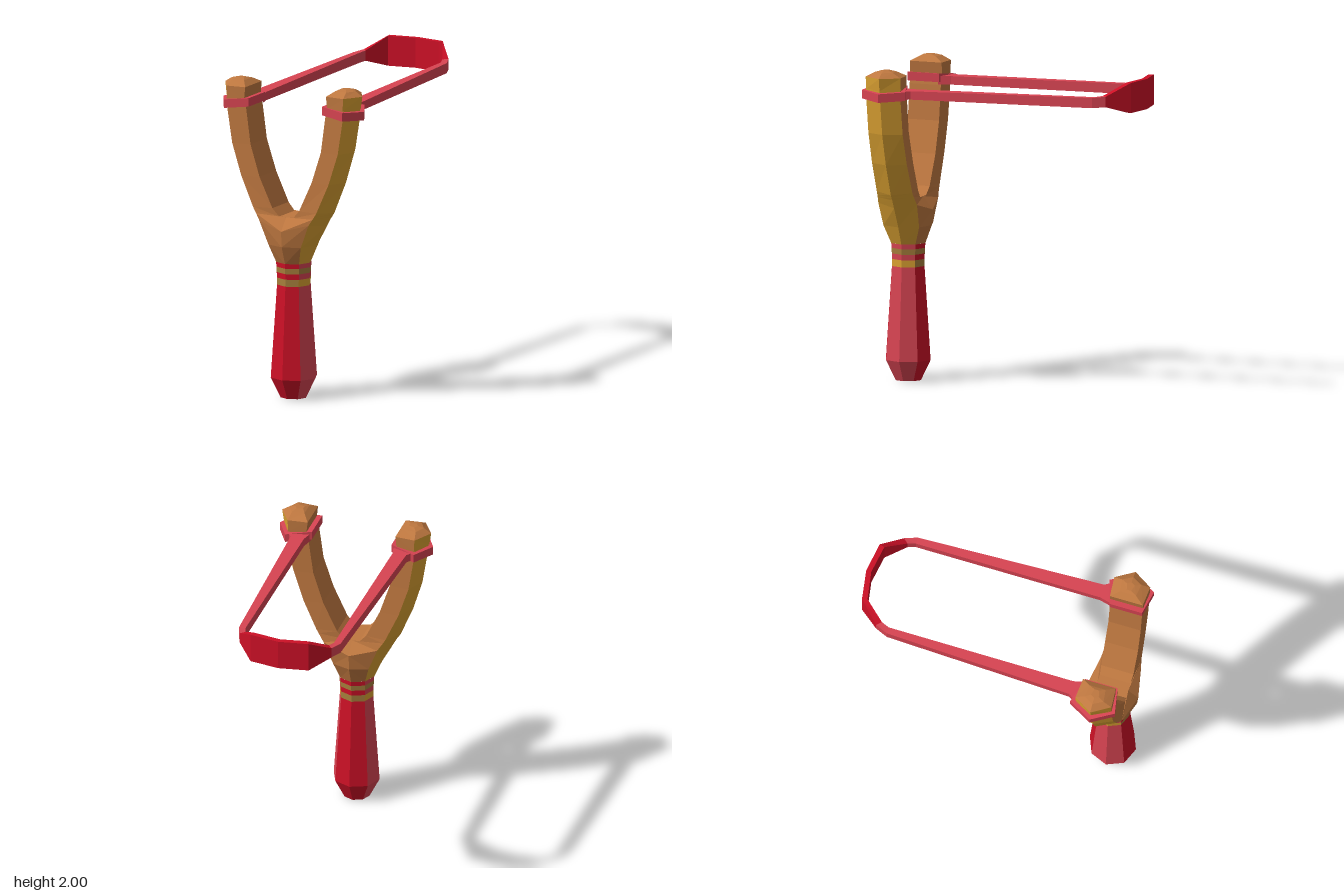
import * as THREE from 'three';

const flat = (name, color) => Object.assign(new THREE.MeshStandardMaterial({ color }), { name });
const crimson = flat('crimson', 0xcc1026);
const softRed = flat('soft red', 0xd84452);
const wood = flat('brown wood', 0xbf7840);
const gold = flat('golden wood', 0xdca232);
const olive = flat('olive wood', 0xa8803c);

const FORK_Z = 0.72;

// Skins closed rings (counter-clockwise seen from the far end) with flat faces.
// paint(i, j) gives the material of face j between rings i and i + 1, or null to leave it open.
function loft(name, rings, paint, { side = 1, capStart = null, capEnd = null } = {}) {
  const faces = new Map();
  const tri = (mat, a, b, c) => {
    if (!faces.has(mat)) faces.set(mat, []);
    for (const p of side > 0 ? [a, b, c] : [a, c, b]) faces.get(mat).push(p[0] * side, p[1], p[2]);
  };
  for (let i = 0; i < rings.length - 1; i++) {
    const a = rings[i], b = rings[i + 1], n = a.length;
    for (let j = 0; j < n; j++) {
      const mat = paint(i, j), k = (j + 1) % n;
      if (!mat) continue;
      tri(mat, a[j], a[k], b[k]);
      tri(mat, a[j], b[k], b[j]);
    }
  }
  const cap = (mat, ring, end) => {
    const mid = [0, 1, 2].map(c => ring.reduce((s, p) => s + p[c], 0) / ring.length);
    ring.forEach((p, j) => {
      const q = ring[(j + 1) % ring.length];
      if (end) tri(mat, p, q, mid);
      else tri(mat, q, p, mid);
    });
  };
  if (capStart) cap(capStart, rings[0], false);
  if (capEnd) cap(capEnd, rings[rings.length - 1], true);

  const positions = [], mats = [], geo = new THREE.BufferGeometry();
  for (const [mat, list] of faces) {
    geo.addGroup(positions.length / 3, list.length / 3, mats.length);
    positions.push(...list);
    mats.push(mat);
  }
  geo.setAttribute('position', new THREE.Float32BufferAttribute(positions, 3));
  geo.computeVertexNormals();
  const mesh = new THREE.Mesh(geo, mats);
  mesh.name = name;
  return mesh;
}

// Eight-sided handle ring with a corner facing front
const octagon = ([y, r]) => Array.from({ length: 8 }, (_, k) => {
  const a = k * Math.PI / 4;
  return [r * Math.cos(a), y, FORK_Z - r * Math.sin(a)];
});

// Five-sided arm ring: outer ridge, two outer edges, flat inner face
const armRing = ([ox, oy, ex, ey, ez, ix, iy, iz]) => [
  [ox, oy, FORK_Z],
  [ex, ey, FORK_Z - ez], [ix, iy, FORK_Z - iz],
  [ix, iy, FORK_Z + iz], [ex, ey, FORK_Z + ez],
];
const level = (ox, y, ex, ez, ix, iz = ez - 0.01) => [ox, y, ex, y, ez, ix, y, iz];

function handle() {
  const group = new THREE.Group();
  group.name = 'handle';
  const isSide = j => [0, 3, 4, 7].includes(j);
  const sections = [
    ['grip', [[0, 0.085], [0.13, 0.15], [0.72, 0.109]], softRed, crimson],
    ['lowerWoodBand', [[0.72, 0.109], [0.765, 0.11]], gold, olive],
    ['middleWrap', [[0.765, 0.11], [0.8, 0.111]], softRed, crimson],
    ['upperWoodBand', [[0.8, 0.111], [0.835, 0.113]], olive, olive],
    ['topWrap', [[0.835, 0.113], [0.865, 0.115]], softRed, crimson],
  ];
  for (const [name, profile, sideMat, frontMat] of sections) {
    group.add(loft(name, profile.map(octagon), (i, j) => (isSide(j) ? sideMat : frontMat),
      { capStart: name === 'grip' ? crimson : null }));
  }
  return group;
}

// Half of the fork: crotch bulge, then the curved arm
const ARM = [
  level(0.115, 0.865, 0.081, 0.081, 0, 0.115),
  level(0.165, 0.98, 0.115, 0.12, 0, 0.158),
  [0.235, 1.11, 0.175, 1.13, 0.13, 0, 1.08, 0.165],
  [0.265, 1.165, 0.2, 1.17, 0.124, 0, 1.16, 0.1],
  [0.275, 1.18, 0.21, 1.185, 0.122, 0.05, 1.16, 0.1],
  [0.288, 1.2, 0.225, 1.21, 0.12, 0.095, 1.21, 0.105],
  level(0.37, 1.4, 0.31, 0.117, 0.185),
  level(0.43, 1.6, 0.375, 0.115, 0.25),
  level(0.465, 1.82, 0.41, 0.115, 0.28),
  level(0.472, 1.885, 0.415, 0.115, 0.295),
];

// Faceted knob at the tip of an arm
const KNOB = [
  level(0.475, 1.88, 0.41, 0.117, 0.295),
  level(0.487, 1.96, 0.415, 0.117, 0.287),
  level(0.44, 1.99, 0.405, 0.062, 0.325),
  level(0.4, 2.0, 0.385, 0.025, 0.345),
];

// Slightly tilted band tied around an arm
const LOOP = [[0.5, 0.72], [0.42, 0.57], [0.26, 0.62], [0.26, 0.83], [0.42, 0.86]];
const loopRing = dy => LOOP.map(([x, z]) => [x, 1.853 - (x - 0.38) * 0.12 + dy, z]);

// Sling sections: outer x, z, inner x, z, bottom, top
const SLING = [
  [0.41, 0.6, 0.27, 0.63, 1.825, 1.876],
  [0.378, 0.55, 0.29, 0.55, 1.825, 1.878],
  [0.332, -0.65, 0.29, -0.65, 1.834, 1.898],
  [0.3, -0.73, 0.272, -0.7, 1.84, 1.906],
  [0.19, -0.855, 0.18, -0.822, 1.795, 1.985],
  [0, -0.885, 0, -0.852, 1.795, 1.985],
].map(([ox, oz, ix, iz, lo, hi]) => [[ix, lo, iz], [ix, hi, iz], [ox, hi, oz], [ox, lo, oz]]);

export function createModel() {
  const model = new THREE.Group();
  model.name = 'slingshot';
  model.add(handle());

  const outerGold = j => (j === 0 || j === 4 ? gold : wood);
  for (const [label, side] of [['left', 1], ['right', -1]]) {
    model.add(
      loft(label + 'Arm', ARM.map(armRing),
        (i, j) => (j === 2 && i < 3 ? null : outerGold(j)), { side }),
      loft(label + 'Knob', KNOB.map(armRing),
        (i, j) => (i === 0 ? outerGold(j) : wood), { side, capStart: wood, capEnd: wood }),
      loft(label + 'Loop', [loopRing(-0.027), loopRing(0.027)],
        () => softRed, { side, capStart: softRed, capEnd: softRed }),
      loft(label + 'Strap', SLING.slice(0, 4), () => softRed, { side }),
      loft(label + 'PouchHalf', SLING.slice(3), () => crimson, { side }),
    );
  }
  return model;
}
